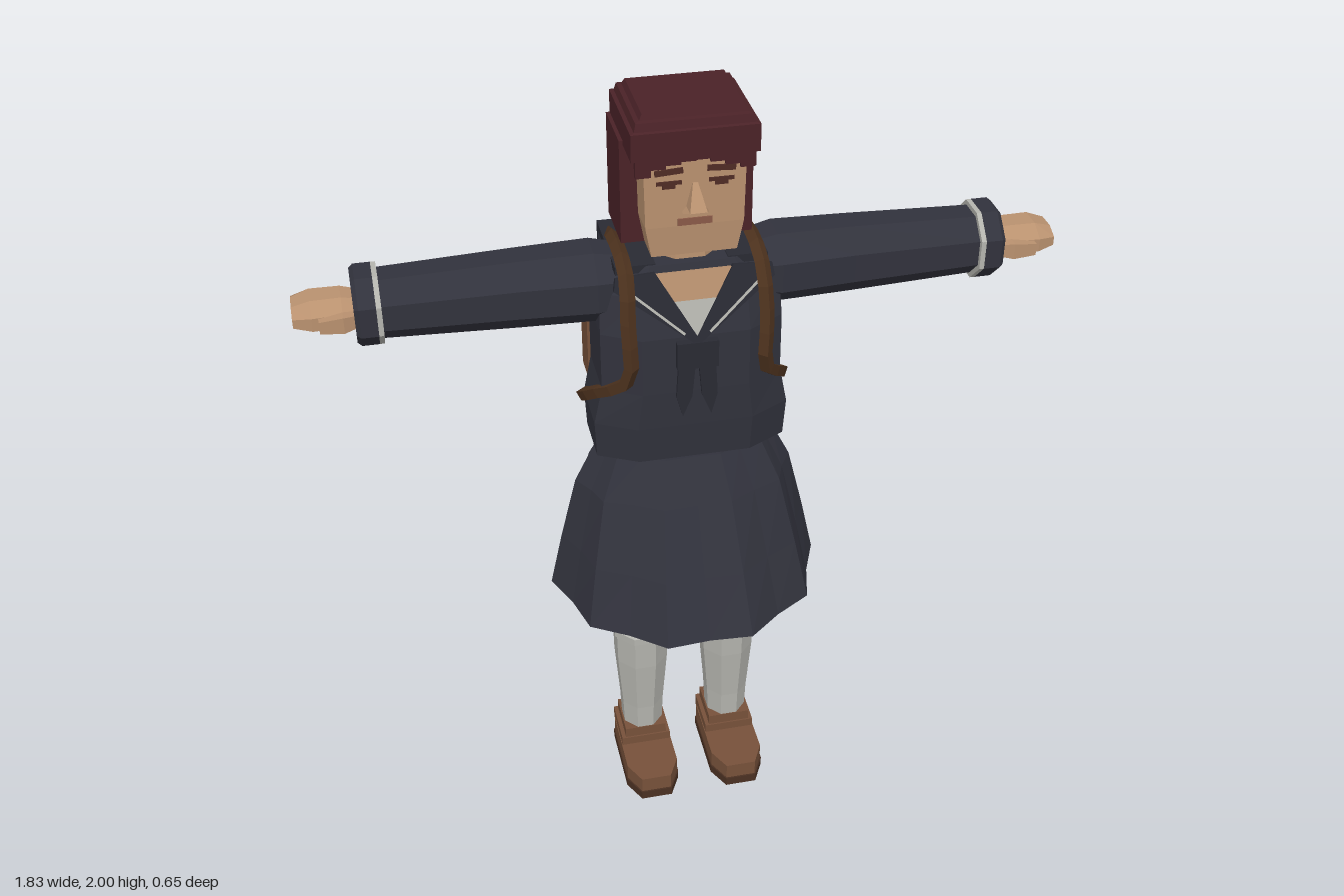
import * as THREE from 'three';

const mat = (name, color) => Object.assign(new THREE.MeshStandardMaterial({ color }), { name });

export function createModel() {
  const model = new THREE.Group();
  model.name = 'schoolgirl';

  const navy = mat('navyCloth', 0x31323c);
  const collarNavy = mat('collarNavy', 0x292a33);
  const skin = mat('skin', 0xb9916f);
  const hairRed = mat('hairRed', 0x4a2227);
  const white = mat('whiteCloth', 0xb4b4ae);
  const leather = mat('leather', 0x77513a);
  const strapBrown = mat('strapBrown', 0x50341f);
  const soleBrown = mat('soleBrown', 0x4a3022);
  const featureBrown = mat('featureBrown', 0x4f2c25);
  const lipBrown = mat('lipBrown', 0x8a5a48);

  const add = (name, geometry, material, parent = model) => {
    const mesh = new THREE.Mesh(geometry, material);
    mesh.name = name;
    parent.add(mesh);
    return mesh;
  };

  // Facet any geometry
  const flat = (g) => {
    const f = g.index ? g.toNonIndexed() : g;
    f.computeVertexNormals();
    return f;
  };

  // Faceted skin over sections [y, halfX, halfZ, centreX, centreZ];
  // p < 1 squares the outline, pleat pulls in every second corner
  const loft = (sections, n = 8, { p = 1, pleat = 1, phase = Math.PI / n, capped = true } = {}) => {
    const pos = [], idx = [];
    const norm = phase ? Math.cos(Math.PI / n) ** p : 1;
    for (const [y, rx, rz, cx = 0, cz = 0] of sections) {
      for (let i = 0; i < n; i++) {
        const a = phase + (i / n) * Math.PI * 2, c = Math.cos(a), s = Math.sin(a);
        const k = (i % 2 ? pleat : 1) / norm;
        pos.push(cx + rx * k * Math.sign(c) * Math.abs(c) ** p, y, cz + rz * k * Math.sign(s) * Math.abs(s) ** p);
      }
    }
    const last = (sections.length - 1) * n;
    for (let r = 0; r < last; r += n) {
      for (let i = 0; i < n; i++) {
        const a = r + i, b = r + ((i + 1) % n);
        idx.push(a, a + n, b, b, a + n, b + n);
      }
    }
    if (capped) {
      for (let i = 1; i < n - 1; i++) idx.push(0, i, i + 1, last, last + i + 1, last + i);
    }
    const g = new THREE.BufferGeometry();
    g.setAttribute('position', new THREE.Float32BufferAttribute(pos, 3));
    g.setIndex(idx);
    return flat(g);
  };

  const box = (name, size, at, material, parent = model) => {
    const m = add(name, new THREE.BoxGeometry(...size), material, parent);
    m.position.set(...at);
    return m;
  };

  // Flat plate from outline points, mirrored by s
  const plate = (points, depth, s = 1) =>
    new THREE.ExtrudeGeometry(new THREE.Shape(points.map(([x, y]) => new THREE.Vector2(x * s, y))), { depth, bevelEnabled: false });

  // Blouse and pleated skirt (outer wall turned in to an inner wall)
  add('blouse', loft([
    [1.1, 0.235, 0.122, 0, 0.015], [1.2, 0.24, 0.128, 0, 0.018], [1.3, 0.22, 0.13, 0, 0.02],
    [1.45, 0.22, 0.13, 0, 0.018], [1.55, 0.215, 0.115, 0, 0.008], [1.62, 0.17, 0.1, 0, 0],
  ], 8, { p: 0.6 }), navy);
  add('skirt', loft([
    [1.08, 0.2, 0.1], [0.97, 0.27, 0.175], [0.652, 0.345, 0.333],
    [0.65, 0.355, 0.343], [0.8, 0.322, 0.27], [0.97, 0.28, 0.185], [1.08, 0.225, 0.125], [1.12, 0.2, 0.11],
  ], 20, { pleat: 0.93, phase: 0, capped: false }), navy);

  // Neck and head
  add('neck', loft([[1.5, 0.085, 0.08], [1.6, 0.085, 0.08], [1.68, 0.08, 0.075]]), skin);
  add('head', loft([
    [1.655, 0.1, 0.09, 0, 0.03], [1.73, 0.114, 0.095, 0, 0.03], [1.92, 0.118, 0.095, 0, 0.03],
  ], 4), skin);
  add('nose', loft([
    [1.765, 0.03, 0.008, 0, 0.128], [1.778, 0.02, 0.02, 0, 0.145], [1.835, 0.006, 0.004, 0, 0.125],
  ], 4), skin);
  box('mouth', [0.08, 0.017, 0.006], [0, 1.74, 0.125], lipBrown);

  // Bobbed hair with a stepped crown and jagged fringe
  const hair = new THREE.Group();
  hair.name = 'hair';
  model.add(hair);
  add('crown', loft([
    [1.9, 0.146, 0.127, 0, 0.008], [1.965, 0.146, 0.127, 0, 0.008], [1.967, 0.137, 0.119, 0, 0.008],
    [1.985, 0.132, 0.114, 0, 0.008], [1.987, 0.122, 0.104, 0, 0.008], [2, 0.115, 0.098, 0, 0.008],
  ], 4), hairRed, hair);
  box('backHair', [0.31, 0.255, 0.07], [0, 1.7825, -0.083], hairRed, hair);
  [0.045, 0.028, 0.02, 0.014, 0.012, 0.02, 0.03, 0.04].forEach((h, i) => {
    box('fringe', [0.035, h + 0.01, 0.016], [(i - 3.5) * 0.034, 1.91 - h / 2, 0.126], hairRed, hair);
  });

  // Sailor collar front, leaning back with the chest
  const collar = new THREE.Group();
  collar.name = 'collar';
  collar.position.set(0, 1.45, 0.148);
  collar.rotation.x = -0.25;
  model.add(collar);
  add('neckSkin', plate([[-0.09, 0.16], [-0.045, 0.08], [0.045, 0.08], [0.09, 0.16]], 0.008), skin, collar);
  add('undershirt', plate([[-0.05, 0.09], [0, 0], [0.05, 0.09]], 0.009), white, collar);
  box('collarBack', [0.36, 0.17, 0.018], [0, 1.535, -0.133], collarNavy).rotation.x = -0.1;
  box('collarBackStripe', [0.32, 0.007, 0.006], [0, 1.47, -0.138], white).rotation.x = -0.1;

  // Scarf knot
  box('scarfKnot', [0.1, 0.07, 0.03], [0, 1.407, 0.152], collarNavy);

  // Satchel backpack
  const pack = new THREE.Group();
  pack.name = 'backpack';
  model.add(pack);
  add('packBody', loft([
    [1.09, 0.155, 0.055, 0, -0.172], [1.115, 0.17, 0.063, 0, -0.172], [1.39, 0.17, 0.063, 0, -0.172],
  ], 4), leather, pack);
  add('packLid', loft([
    [1.385, 0.185, 0.073, 0, -0.18], [1.44, 0.182, 0.072, 0, -0.18],
  ], 4), leather, pack);

  for (const s of [1, -1]) {
    const side = s > 0 ? 'left' : 'right';

    // Face details and side hair
    box(side + 'Brow', [0.065, 0.014, 0.006], [s * 0.06, 1.866, 0.125], featureBrown).rotation.z = -s * 0.06;
    box(side + 'Lash', [0.058, 0.009, 0.006], [s * 0.06, 1.839, 0.125], featureBrown);
    box(side + 'Eye', [0.03, 0.01, 0.005], [s * 0.06, 1.83, 0.125], featureBrown);
    box(side + 'Hair', [0.06, 0.255, 0.155], [s * 0.125, 1.7825, -0.037], hairRed, hair);

    // Collar lapel, edge stripe, shoulder piece, scarf tail
    add(side + 'Lapel', plate([[0, -0.02], [0, 0.002], [0.092, 0.165], [0.185, 0.16], [0.19, 0.13]], 0.014, s), collarNavy, collar);
    const stripe = box(side + 'LapelStripe', [0.006, 0.19, 0.004], [s * 0.1, 0.075, 0.014], white, collar);
    stripe.rotation.z = -s * 0.83;
    box(side + 'CollarShoulder', [0.095, 0.02, 0.235], [s * 0.133, 1.613, -0.022], collarNavy);
    add(side + 'ScarfTail', plate([[0.004, 1.38], [0.045, 1.38], [0.05, 1.29], [0.035, 1.235], [0.012, 1.29]], 0.014, s), collarNavy)
      .position.z = 0.145;

    // Arm stretched sideways
    const arm = new THREE.Group();
    arm.name = side + 'Arm';
    arm.position.y = 1.545;
    arm.rotation.z = -s * Math.PI / 2;
    model.add(arm);
    add('sleeve', loft([[0.13, 0.07, 0.08], [0.22, 0.09, 0.095], [0.4, 0.087, 0.085], [0.72, 0.076, 0.077]]), navy, arm);
    add('cuffStripe', loft([[0.713, 0.088, 0.089], [0.725, 0.088, 0.089]]), white, arm);
    add('cuff', loft([[0.725, 0.088, 0.09], [0.765, 0.088, 0.09], [0.775, 0.08, 0.082]]), navy, arm);
    add('hand', loft([[0.76, 0.03, 0.055], [0.8, 0.04, 0.066], [0.87, 0.04, 0.07], [0.913, 0.026, 0.056]]), skin, arm);
    add('thumb', loft([[0.77, 0.016, 0.016, 0, 0.06], [0.8, 0.02, 0.018, 0, 0.07], [0.855, 0.015, 0.014, 0, 0.074]], 4), skin, arm);

    // Leg, sock and shoe
    const leg = new THREE.Group();
    leg.name = side + 'Leg';
    leg.position.x = s * 0.12;
    model.add(leg);
    add('thigh', loft([[0.44, 0.066, 0.074], [0.65, 0.073, 0.08], [0.95, 0.078, 0.085]]), skin, leg);
    add('sock', loft([[0.1, 0.052, 0.056], [0.2, 0.056, 0.06], [0.36, 0.068, 0.073], [0.46, 0.07, 0.077]]), white, leg);
    add('sockBand', loft([[0.455, 0.076, 0.084], [0.475, 0.076, 0.084], [0.48, 0.07, 0.078]]), white, leg);
    const outline = [[-0.055, 0.07], [0.055, 0.07], [0.073, 0.05], [0.073, -0.15], [0.042, -0.21], [-0.042, -0.21], [-0.073, -0.15], [-0.073, 0.05]];
    add('sole', plate(outline, 0.025).rotateX(-Math.PI / 2), soleBrown, leg);
    const upper = add('shoe', plate(outline, 0.045).rotateX(-Math.PI / 2), leather, leg);
    upper.position.y = 0.025;
    upper.scale.set(0.96, 1, 0.98);
    add('shoeCollar', loft([[0.06, 0.068, 0.066, 0, -0.003], [0.095, 0.068, 0.066, 0, -0.003]], 4), leather, leg);
    add('shoeTop', loft([[0.09, 0.057, 0.062, 0, -0.003], [0.125, 0.057, 0.062, 0, -0.003]], 4), leather, leg);

    // Pack pocket and shoulder strap
    box(side + 'Pocket', [0.05, 0.18, 0.09], [s * 0.19, 1.27, -0.178], leather, pack);
    const path = new THREE.CatmullRomCurve3([
      [0.15, 1.4, -0.13], [0.155, 1.57, -0.135], [0.16, 1.63, -0.05], [0.16, 1.615, 0.12], [0.165, 1.5, 0.165],
      [0.165, 1.36, 0.165], [0.225, 1.28, 0.075], [0.248, 1.215, -0.02], [0.17, 1.14, -0.14],
    ].map(([x, y, z]) => new THREE.Vector3(s * x, y, z)));
    add(side + 'Strap', flat(new THREE.TubeGeometry(path, 20, 0.018, 4)), strapBrown, pack);
  }
  return model;
}
